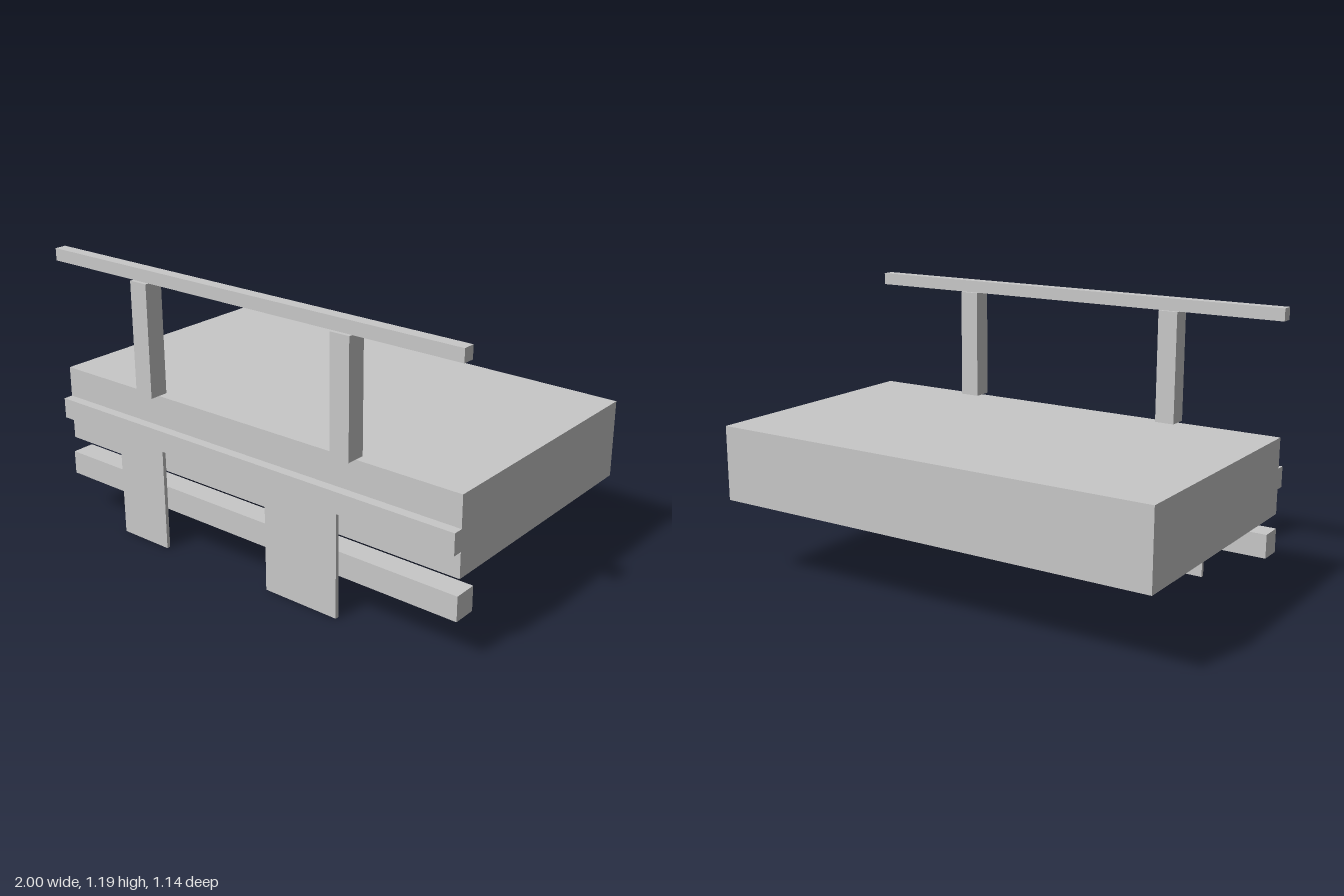
import * as THREE from 'three';

export function createModel() {
  const model = new THREE.Group();
  const grey = new THREE.MeshStandardMaterial({ color: 0xc8c8c8 });
  grey.name = 'light grey';

  // Box given by its extents along each axis
  function addBox(name, [x0, x1], [y0, y1], [z0, z1]) {
    const mesh = new THREE.Mesh(new THREE.BoxGeometry(x1 - x0, y1 - y0, z1 - z0), grey);
    mesh.position.set((x0 + x1) / 2, (y0 + y1) / 2, (z0 + z1) / 2);
    mesh.name = name;
    model.add(mesh);
  }

  const width = [-1, 1];

  // Main slab and the ledge along its front edge
  addBox('deck', width, [0.344, 0.667], [-0.571, 0.53]);
  addBox('frontLedge', width, [0.449, 0.537], [0.53, 0.571]);

  // Railing: two posts and a handrail
  for (const side of [-1, 1]) {
    const x = side * 0.5;
    addBox(side < 0 ? 'rightPost' : 'leftPost', [x - 0.043, x + 0.043], [0.667, 1.141], [0.489, 0.571]);
  }
  addBox('handrail', width, [1.141, 1.193], [0.505, 0.555]);

  // Thin hanging panels of different widths
  addBox('rightPanel', [-0.677, -0.427], [0, 0.449], [0.539, 0.555]);
  addBox('leftPanel', [0.124, 0.473], [0, 0.449], [0.539, 0.555]);

  // Lower beam behind the panels
  addBox('lowerBeam', width, [0.177, 0.279], [0.44, 0.539]);

  return model;
}
